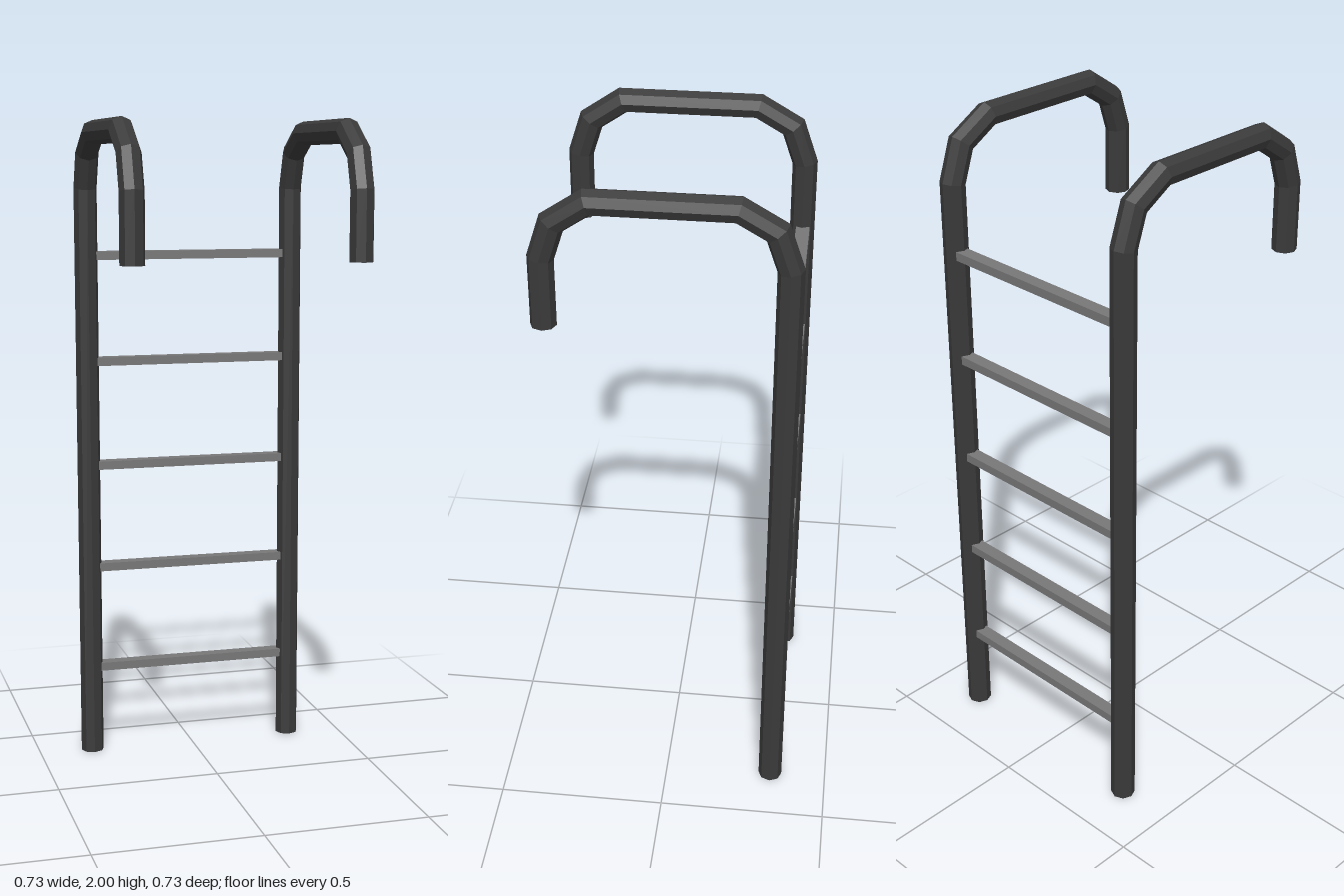
import * as THREE from 'three';

const SIDES = 8, RADIUS = 0.036, RAIL_X = 0.33;

// Handrail centre line as [z, y], from the foot, over the top, to the grip end
const PATH = [
  [-0.327, 0], [-0.327, 1.80], [-0.29, 1.907], [-0.19, 1.965],
  [0.20, 1.965], [0.293, 1.902], [0.326, 1.80], [0.326, 1.60],
].map(([z, y]) => new THREE.Vector2(z, y));

// Octagonal tube swept along the path with mitred bends and closed ends
function railGeometry() {
  const last = PATH.length - 1;
  const rings = PATH.map((p, i) => {
    const a = PATH[Math.max(i - 1, 0)], b = PATH[Math.min(i + 1, last)];
    const dirIn = (i > 0 ? p.clone().sub(a) : b.clone().sub(p)).normalize();
    const dirOut = (i < last ? b.clone().sub(p) : dirIn.clone()).normalize();
    const mid = dirIn.clone().add(dirOut).normalize();
    const stretch = RADIUS / mid.dot(dirIn);
    return Array.from({ length: SIDES }, (_, k) => {
      const t = (k / SIDES) * Math.PI * 2;
      const s = Math.sin(t) * stretch;
      return [Math.cos(t) * RADIUS, p.y + mid.x * s, p.x - mid.y * s];
    });
  });
  const pos = [];
  const tri = (a, b, c) => pos.push(...a, ...b, ...c);
  for (let i = 0; i < last; i++) {
    for (let k = 0; k < SIDES; k++) {
      const n = (k + 1) % SIDES;
      const a = rings[i][k], b = rings[i][n], c = rings[i + 1][n], d = rings[i + 1][k];
      tri(a, b, c);
      tri(a, c, d);
    }
  }
  for (let k = 1; k < SIDES - 1; k++) {
    tri(rings[0][0], rings[0][k + 1], rings[0][k]);
    tri(rings[last][0], rings[last][k], rings[last][k + 1]);
  }
  const geo = new THREE.BufferGeometry();
  geo.setAttribute('position', new THREE.Float32BufferAttribute(pos, 3));
  geo.computeVertexNormals();
  return geo;
}

export function createModel() {
  const group = new THREE.Group();
  group.name = 'ladder';
  const railMat = new THREE.MeshStandardMaterial({ color: 0x3a3a3a });
  railMat.name = 'dark rail';
  const rungMat = new THREE.MeshStandardMaterial({ color: 0x777777 });
  rungMat.name = 'grey rung';

  // Two hooked handrails
  const railGeo = railGeometry();
  for (const side of [-1, 1]) {
    const rail = new THREE.Mesh(railGeo, railMat);
    rail.name = side > 0 ? 'leftRail' : 'rightRail';
    rail.position.x = side * RAIL_X;
    group.add(rail);
  }

  // Five flat rungs between the rails
  const rungGeo = new THREE.BoxGeometry(0.61, 0.026, 0.04);
  for (let i = 0; i < 5; i++) {
    const rung = new THREE.Mesh(rungGeo, rungMat);
    rung.name = `rung${i + 1}`;
    rung.position.set(0, 0.278 + i * 0.329, -0.33);
    group.add(rung);
  }
  return group;
}
